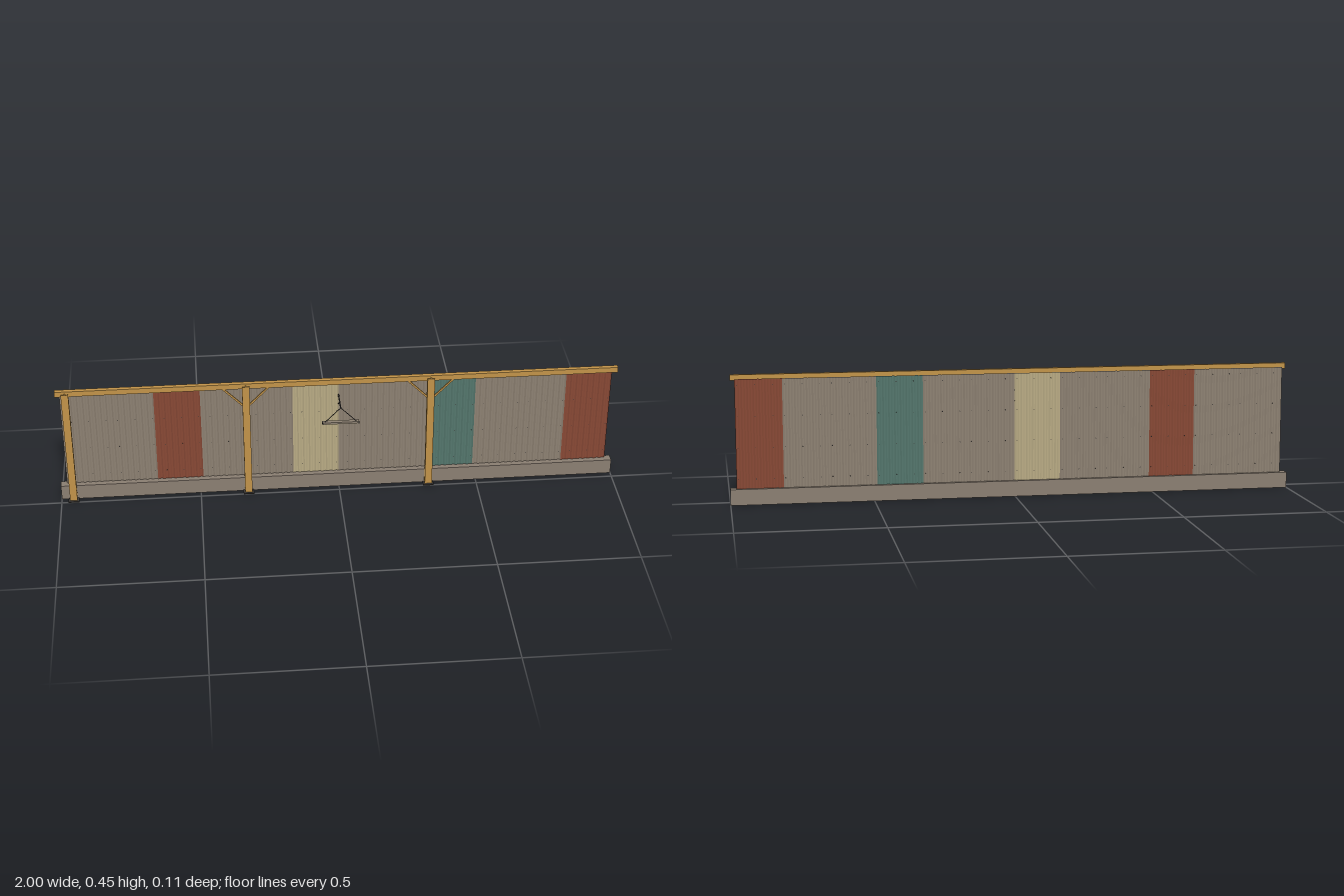
import * as THREE from 'three';

function material(name, color, side = THREE.FrontSide) {
  const m = new THREE.MeshStandardMaterial({ color, side });
  m.name = name;
  return m;
}

export function createModel() {
  const root = new THREE.Group();
  root.name = 'corrugatedFence';

  const concrete = material('concrete', 0x8c8073);
  const ochre = material('ochrePaint', 0xc4954a);
  const dark = material('darkSteel', 0x3b3836);
  const grey = material('greySheet', 0x8f8374, THREE.DoubleSide);
  const rust = material('rustSheet', 0x8a4a36, THREE.DoubleSide);
  const cream = material('creamSheet', 0xbbad86, THREE.DoubleSide);
  const teal = material('tealSheet', 0x55786e, THREE.DoubleSide);

  const add = (parent, name, geometry, mat, x = 0, y = 0, z = 0) => {
    const mesh = new THREE.Mesh(geometry, mat);
    mesh.name = name;
    mesh.position.set(x, y, z);
    parent.add(mesh);
    return mesh;
  };
  const box = (parent, name, mat, w, h, d, x, y, z) =>
    add(parent, name, new THREE.BoxGeometry(w, h, d), mat, x, y, z);

  // Square bar between two points
  const bar = (parent, name, mat, a, b, w, d = w) => {
    const p = new THREE.Vector3(...a), q = new THREE.Vector3(...b);
    const mid = p.clone().add(q).multiplyScalar(0.5);
    const mesh = box(parent, name, mat, w, p.distanceTo(q), d, mid.x, mid.y, mid.z);
    mesh.quaternion.setFromUnitVectors(new THREE.Vector3(0, 1, 0), q.sub(p).normalize());
    return mesh;
  };

  // Footing and top rail
  box(root, 'footing', concrete, 2, 0.056, 0.032, 0, 0.028, -0.039);
  box(root, 'topRail', ochre, 1.985, 0.02, 0.016, 0, 0.444, -0.024);

  // Corrugated sheets: a plane folded into trapezoid ribs
  const panels = 12, ribs = 8, width = 1.956 / panels;
  const bottom = 0.05, top = 0.44, sheetZ = -0.0435;
  const painted = { 2: rust, 5: cream, 8: teal, 11: rust };
  const fold = [1, 1, -1, -1];
  const screwGeometry = new THREE.CylinderGeometry(0.0016, 0.0016, 0.001, 6);
  screwGeometry.rotateX(Math.PI / 2);
  for (let i = 0; i < panels; i++) {
    const sheet = new THREE.PlaneGeometry(width, top - bottom, ribs * 4, 1);
    const pos = sheet.attributes.position;
    for (let v = 0; v < pos.count; v++) {
      pos.setZ(v, fold[(v % (ribs * 4 + 1)) % 4] * 0.0016);
    }
    const flat = sheet.toNonIndexed();
    flat.computeVertexNormals();
    const x = -0.978 + width * (i + 0.5);
    add(root, 'sheet' + (i + 1), flat, painted[i] || grey, x, (top + bottom) / 2, sheetZ);

    // Fixing screws on the back ribs
    for (const y of [0.09, 0.2, 0.31, 0.42]) {
      for (const rib of [1, 4, 7]) {
        const sx = x - width / 2 + (rib + 0.625) * (width / ribs);
        add(root, 'screw', screwGeometry, dark, sx, y, sheetZ - 0.002);
      }
    }
  }

  // H-section posts on base plates
  [-0.957, -0.328, 0.325].forEach((x, i) => {
    const post = new THREE.Group();
    post.name = 'post' + (i + 1);
    post.position.x = x;
    root.add(post);
    box(post, 'basePlate', dark, 0.038, 0.004, 0.027, 0, 0.002, -0.0115);
    for (const z of [-0.0075, -0.0215]) {
      box(post, 'flange', ochre, 0.026, 0.444, 0.003, 0, 0.225, z);
    }
    box(post, 'web', ochre, 0.004, 0.444, 0.011, 0, 0.225, -0.0145);

    // Knee braces up to the rail
    if (i > 0) {
      for (const s of [-1, 1]) {
        bar(post, 'kneeBrace', ochre, [s * 0.004, 0.361, -0.0145], [s * 0.08, 0.436, -0.019], 0.006);
      }
    }
  });

  // Hanging lamp on a bracket
  const lamp = new THREE.Group();
  lamp.name = 'hangingLamp';
  root.add(lamp);
  bar(lamp, 'bracketArm', dark, [0, 0.379, -0.042], [0, 0.379, 0.051], 0.004);
  bar(lamp, 'bracketStrut', dark, [0, 0.341, -0.042], [0, 0.379, 0.012], 0.003);
  for (const s of [-1, 1]) {
    bar(lamp, 'wire', dark, [0, 0.379, 0.05], [s * 0.055, 0.323, 0.05], 0.002);
  }
  box(lamp, 'lampHousing', grey, 0.128, 0.006, 0.014, 0, 0.321, 0.05);
  box(lamp, 'lampTube', cream, 0.115, 0.004, 0.006, 0, 0.316, 0.05);
  for (const s of [-1, 1]) {
    box(lamp, 'lampEndCap', dark, 0.003, 0.008, 0.0145, s * 0.0635, 0.32, 0.05);
  }

  return root;
}
